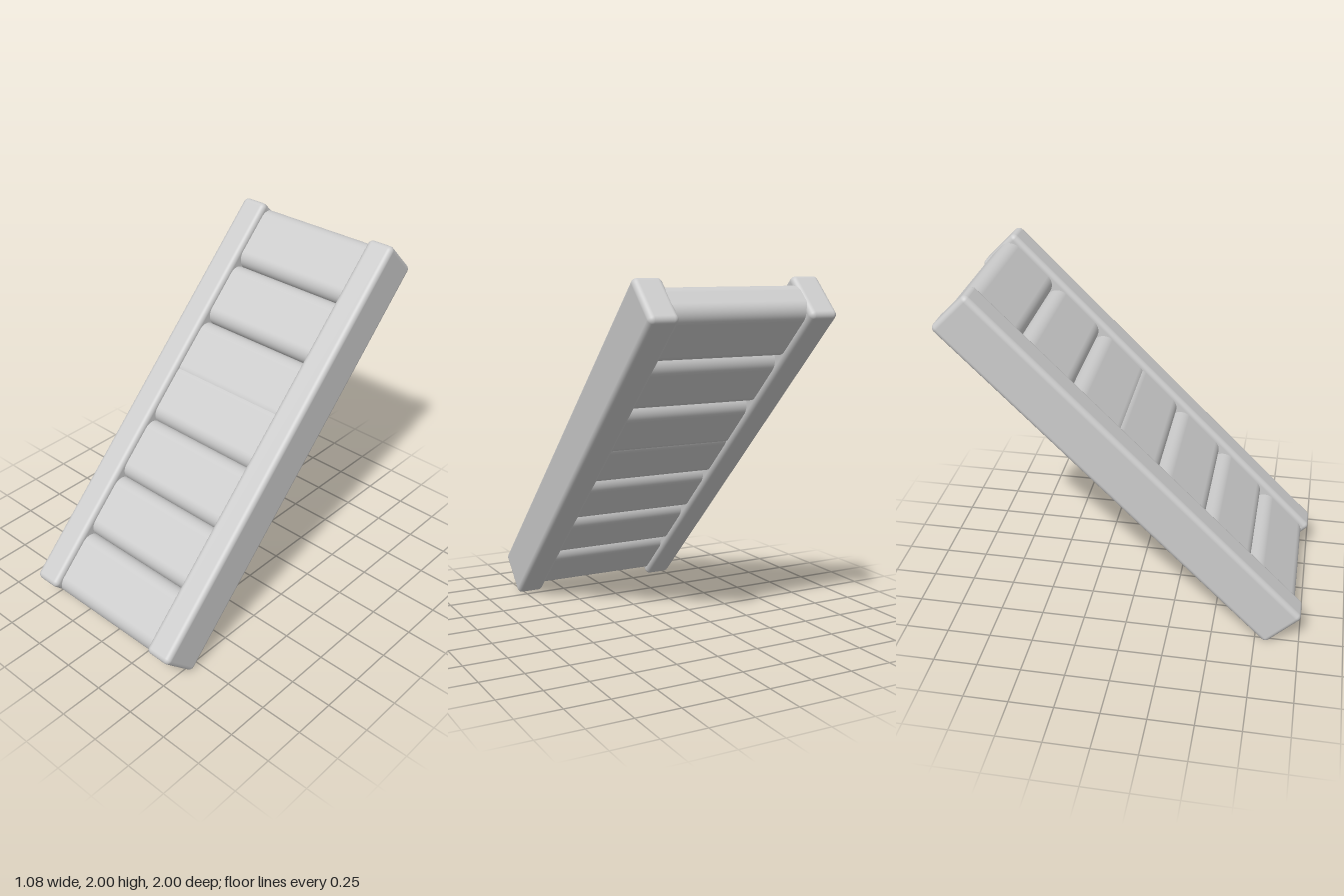
import * as THREE from 'three';
import { RoundedBoxGeometry } from 'three/addons/geometries/RoundedBoxGeometry.js';

export function createModel() {
  const model = new THREE.Group();
  const material = new THREE.MeshStandardMaterial({ color: 0xcccccc });

  // The ramp is built upright along y, then leaned back by 45 degrees
  const ramp = new THREE.Group();
  ramp.name = 'ramp';
  ramp.position.y = 1;
  ramp.rotation.x = -Math.PI / 4;
  model.add(ramp);

  const add = (name, geometry, x, y) => {
    const mesh = new THREE.Mesh(geometry, material);
    mesh.name = name;
    mesh.position.set(x, y, 0);
    ramp.add(mesh);
  };

  // Side rails
  const railGeometry = new RoundedBoxGeometry(0.165, 2.578, 0.286, 5, 0.03);
  add('leftRail', railGeometry, 0.4575, 0);
  add('rightRail', railGeometry, -0.4575, 0);

  // Rounded planks, their ends buried in the rails; two near the middle overlap
  const plankGeometry = new RoundedBoxGeometry(0.96, 0.382, 0.22, 8, 0.075);
  const heights = [-1.098, -0.717, -0.338, 0.039, 0.325, 0.709, 1.093];
  heights.forEach((y, i) => add(`plank${i + 1}`, plankGeometry, 0, y));

  return model;
}
